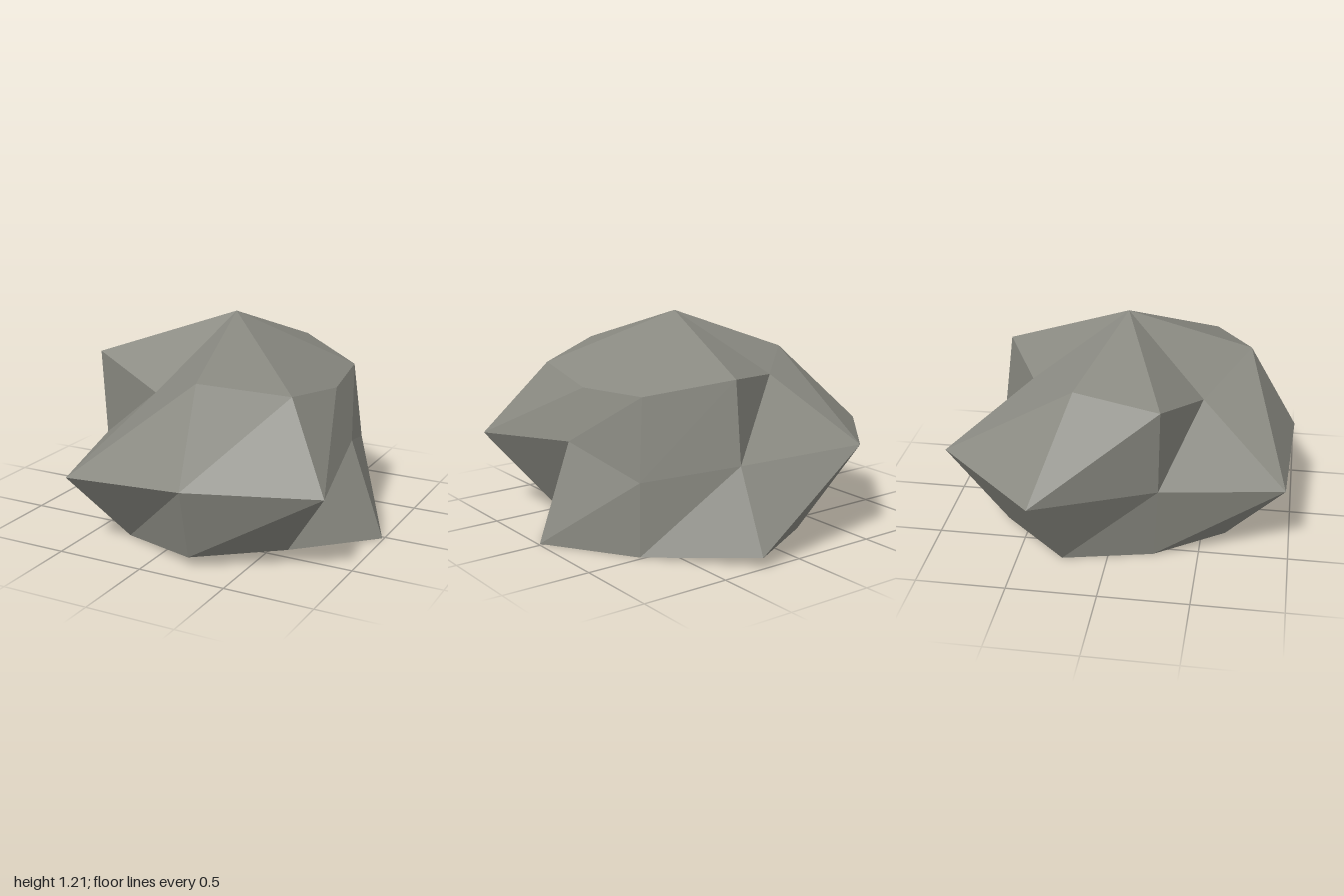
import * as THREE from 'three';

// Boulder: nine columns of 40 degrees around a slightly off-centre axis.
const CX = 0.07, CZ = 0.02, COLUMNS = 9;

// Rings from top to bottom, each column given as [radius, height].
const RINGS = [
  [[0.62, 0.84], [0.74, 0.9], [0.71, 0.97], [0.53, 0.81], [0.79, 0.95], [0.64, 0.97], [0.58, 0.885], [0.73, 0.945], [0.71, 0.86]],
  [[0.72, 0.55], [1.13, 0.47], [0.99, 0.47], [1.09, 0.42], [0.765, 0.46], [1.135, 0.5], [1.11, 0.535], [0.79, 0.49], [0.77, 0.41]],
  [[0.92, 0], [0.72, 0.035], [0.86, 0.06], [0.71, 0], [0.67, 0], [0.79, 0], [0.76, 0], [1.035, 0.06], [0.78, 0]],
];

function createRockGeometry() {
  const positions = [CX, 1.21, CZ];
  for (const ring of RINGS) {
    ring.forEach(([radius, y], i) => {
      const angle = (i / COLUMNS) * Math.PI * 2;
      positions.push(CX + radius * Math.cos(angle), y, CZ + radius * Math.sin(angle));
    });
  }
  positions.push(CX, 0, CZ);

  const at = (ring, i) => 1 + ring * COLUMNS + (i % COLUMNS);
  const base = 1 + RINGS.length * COLUMNS;
  const index = [];
  for (let i = 0; i < COLUMNS; i++) {
    // Top fan
    index.push(0, at(0, i + 1), at(0, i));
    // Side bands, split from upper left to lower right
    for (let r = 0; r < RINGS.length - 1; r++) {
      index.push(at(r, i), at(r, i + 1), at(r + 1, i + 1));
      index.push(at(r, i), at(r + 1, i + 1), at(r + 1, i));
    }
    // Underside fan
    index.push(base, at(2, i), at(2, i + 1));
  }

  const indexed = new THREE.BufferGeometry();
  indexed.setAttribute('position', new THREE.Float32BufferAttribute(positions, 3));
  indexed.setIndex(index);
  const geometry = indexed.toNonIndexed();
  geometry.computeVertexNormals();
  return geometry;
}

export function createModel() {
  const stone = new THREE.MeshStandardMaterial({ color: 0x888880, flatShading: true });
  stone.name = 'stone grey';
  const rock = new THREE.Mesh(createRockGeometry(), stone);
  rock.name = 'boulder';
  const group = new THREE.Group();
  group.name = 'rock';
  group.add(rock);
  return group;
}
